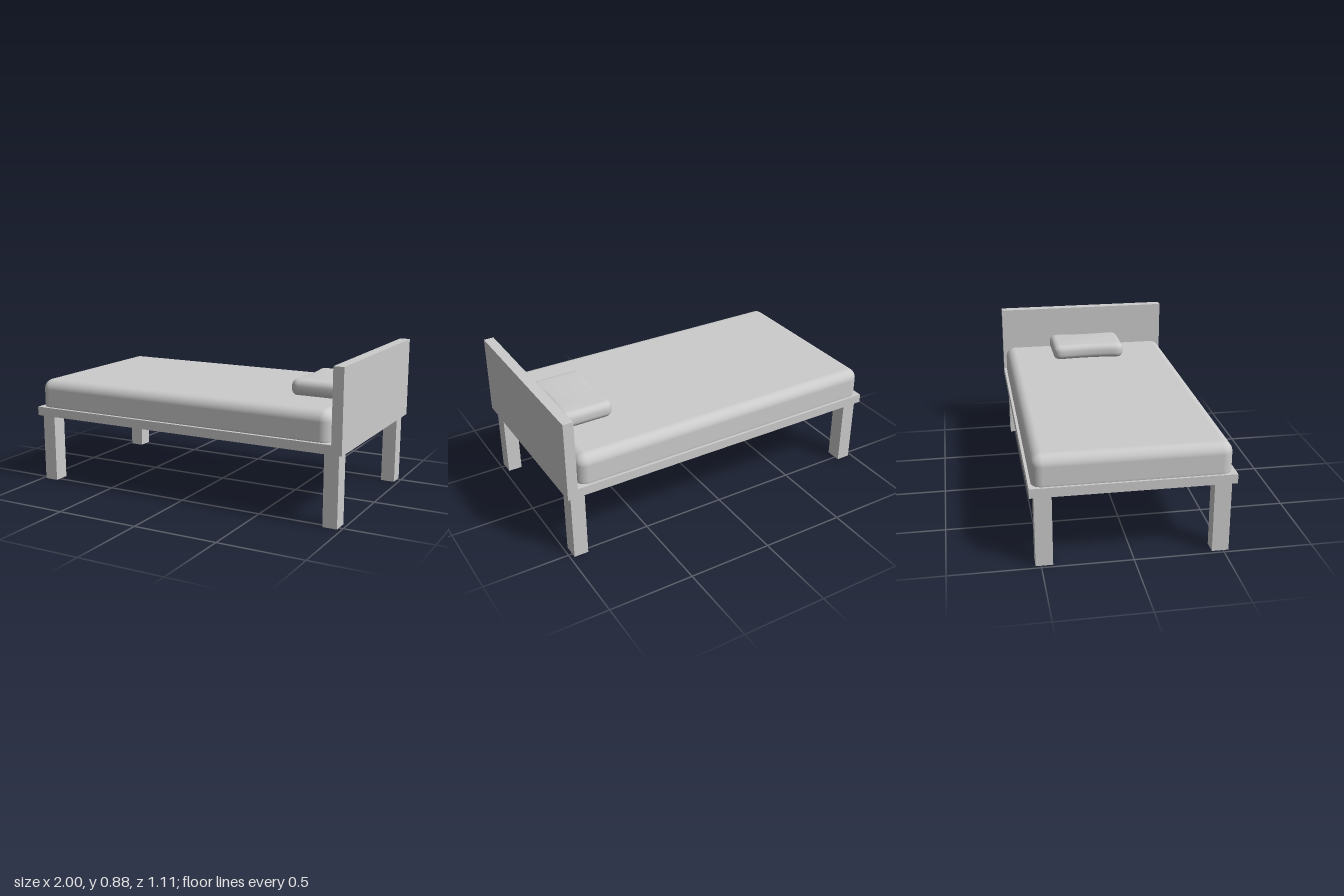
import * as THREE from 'three';
import { toCreasedNormals } from 'three/addons/utils/BufferGeometryUtils.js';
import { RoundedBoxGeometry } from 'three/addons/geometries/RoundedBoxGeometry.js';

const material = new THREE.MeshStandardMaterial({ color: 0xcccccc });

// Mesh placed by its minimum and maximum corners; a radius rounds the edges
function block(name, min, max, radius = 0) {
  const [w, h, d] = max.map((v, i) => v - min[i]);
  const geometry = radius
    ? new RoundedBoxGeometry(w, h, d, 6, radius)
    : new THREE.BoxGeometry(w, h, d);
  const mesh = new THREE.Mesh(geometry, material);
  mesh.name = name;
  mesh.position.set(...max.map((v, i) => (v + min[i]) / 2));
  return mesh;
}

// Soft cushion: plan outline with pinched long sides, rounded by the bevel
function createPillow(width, height, depth) {
  const bevel = 0.038, corner = 0.012, pinch = 0.011;
  const a = width / 2 - bevel, b = depth / 2 - bevel;
  const outline = new THREE.Shape();
  outline.moveTo(-a + corner, -b);
  outline.lineTo(a - corner, -b);
  outline.quadraticCurveTo(a, -b, a, -b + corner);
  outline.quadraticCurveTo(a - 2 * pinch, 0, a, b - corner);
  outline.quadraticCurveTo(a, b, a - corner, b);
  outline.lineTo(-a + corner, b);
  outline.quadraticCurveTo(-a, b, -a, b - corner);
  outline.quadraticCurveTo(-a + 2 * pinch, 0, -a, -b + corner);
  outline.quadraticCurveTo(-a, -b, -a + corner, -b);
  const geometry = new THREE.ExtrudeGeometry(outline, {
    depth: height - 2 * bevel, bevelSize: bevel, bevelThickness: bevel,
    bevelSegments: 6, curveSegments: 10,
  });
  geometry.translate(0, 0, bevel);
  geometry.rotateX(-Math.PI / 2);
  const mesh = new THREE.Mesh(toCreasedNormals(geometry, 0.8), material);
  mesh.name = 'pillow';
  return mesh;
}

export function createModel() {
  const bed = new THREE.Group();
  bed.name = 'bed';

  // Frame
  bed.add(block('basePanel', [-1, 0.412, -0.555], [0.94, 0.465, 0.555]));
  bed.add(block('headboard', [0.94, 0.412, -0.555], [1, 0.883, 0.555]));

  // Four legs
  for (const [end, x] of [['foot', -0.98], ['head', 0.892]]) {
    for (const [side, z] of [['Front', 0.436], ['Back', -0.53]]) {
      bed.add(block(`${end}Leg${side}`, [x, 0, z], [x + 0.084, 0.412, z + 0.094]));
    }
  }

  // Mattress, its rounded underside sunk into the base panel
  bed.add(block('mattress', [-0.987, 0.416, -0.54], [0.922, 0.635, 0.535], 0.06));

  // Pillow
  const pillow = createPillow(0.318, 0.097, 0.468);
  pillow.position.set(0.709, 0.627, -0.007);
  bed.add(pillow);

  return bed;
}
